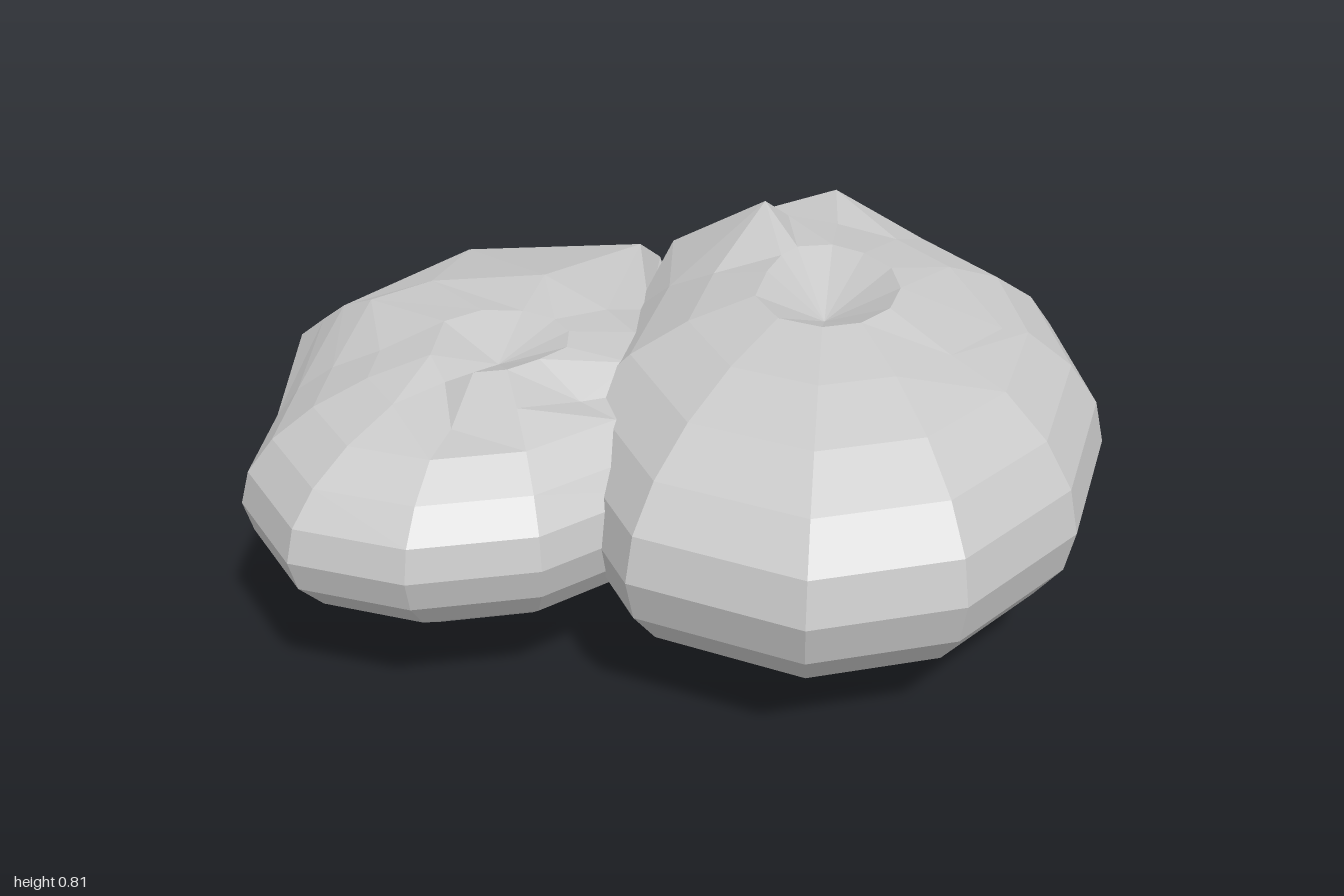
import * as THREE from 'three';

const RINGS = 12;

// Flattened pebble: rings shrink an outline towards a pole; dents move single corners [ring, column, x, y, z].
function pebble(name, material, { x, z, y, height, poleTop, outline, dents }) {
  const cols = outline.length;
  const point = (j, i) => {
    const t = (j / RINGS) * Math.PI;
    const [ox, oz] = outline[i];
    const s = Math.sin(t);
    return [x + (ox - x) * s, y + height * Math.cos(t), z + (oz - z) * s];
  };
  const grid = [];
  for (let j = 0; j <= RINGS; j++) {
    grid.push(outline.map((_, i) => point(j, i)));
  }
  grid[0].forEach((p) => { p[1] = poleTop; });
  for (const [j, i, px, py, pz] of dents) {
    const p = grid[j][i];
    grid[j][i] = [px ?? p[0], py ?? p[1], pz ?? p[2]];
  }

  const positions = [];
  for (let j = 0; j < RINGS; j++) {
    for (let i = 0; i < cols; i++) {
      const n = (i + 1) % cols;
      const a = grid[j][i], b = grid[j][n], c = grid[j + 1][n], d = grid[j + 1][i];
      if (j > 0) positions.push(...a, ...b, ...d);
      if (j < RINGS - 1) positions.push(...(j > 0 ? b : a), ...c, ...d);
    }
  }
  const geometry = new THREE.BufferGeometry();
  geometry.setAttribute('position', new THREE.Float32BufferAttribute(positions, 3));
  geometry.computeVertexNormals();
  const mesh = new THREE.Mesh(geometry, material);
  mesh.name = name;
  return mesh;
}

export function createModel() {
  const group = new THREE.Group();
  group.name = 'pebbles';
  const stone = new THREE.MeshStandardMaterial({ color: 0xc8c8c8, flatShading: true });
  stone.name = 'grey stone';

  // Large front stone with a sunken crown and a pointed back corner
  group.add(pebble('largeStone', stone, {
    x: 0.19, z: 0.24, y: 0.388, height: 0.385, poleTop: 0.67,
    outline: [
      [-0.6, 0.33], [-0.37, -0.1], [0.1, -0.34], [0.46, -0.46], [0.71, -0.47], [0.95, -0.25],
      [0.98, 0.08], [0.87, 0.46], [0.57, 0.77], [0.17, 0.94], [-0.22, 0.92], [-0.5, 0.72],
    ],
    dents: [
      // raised back shoulder
      [2, 3, 0.4, 0.81, -0.1], [2, 4, 0.48, 0.75, -0.09], [3, 5, 0.69, 0.75, -0.1],
      [3, 3, 0.34, 0.66, -0.34], [3, 4, 0.55, 0.66, -0.32],
      // back spike
      [7, 4, 0.73, 0.29, -0.52], [7, 5, 1.0, 0.29, -0.32],
      // chipped front of the crown
      [2, 9, 0.18, 0.7, 0.59], [2, 8, 0.42, 0.67, 0.57],
    ],
  }));

  // Small rear stone with a stretched back edge
  group.add(pebble('smallStone', stone, {
    x: -0.36, z: -0.26, y: 0.39, height: 0.285, poleTop: 0.61,
    outline: [
      [-1, -0.26], [-0.9, -0.53], [-0.68, -0.69], [-0.36, -0.92], [0.02, -0.83], [0.24, -0.54],
      [0.3, -0.2], [0.2, 0.06], [-0.04, 0.26], [-0.36, 0.24], [-0.68, 0.17], [-0.9, -0.01],
    ],
    dents: [
      // stretched back edge
      [5, 3, -0.36, 0.47, -0.95], [4, 3, -0.36, 0.54, -0.86], [3, 3, -0.36, 0.6, -0.78],
      [2, 3, -0.36, 0.645, -0.68], [3, 4, 0.07, 0.6, -0.79], [2, 4, -0.2, 0.65, -0.64],
      [3, 5, 0.34, 0.62, -0.45], [2, 5, -0.08, 0.7, -0.38],
      // upright wall at the back corner
      ...[0.54, 0.47, 0.4, 0.32].flatMap((h, k) => [
        [4 + k, 4, 0.12, h, -0.85], [4 + k, 5, 0.45, h, -0.48],
      ]),
      // chipped front and side of the crown
      [1, 0, null, 0.63, null], [2, 11, null, 0.6, null],
      [2, 9, null, 0.6, null],
    ],
  }));

  return group;
}
